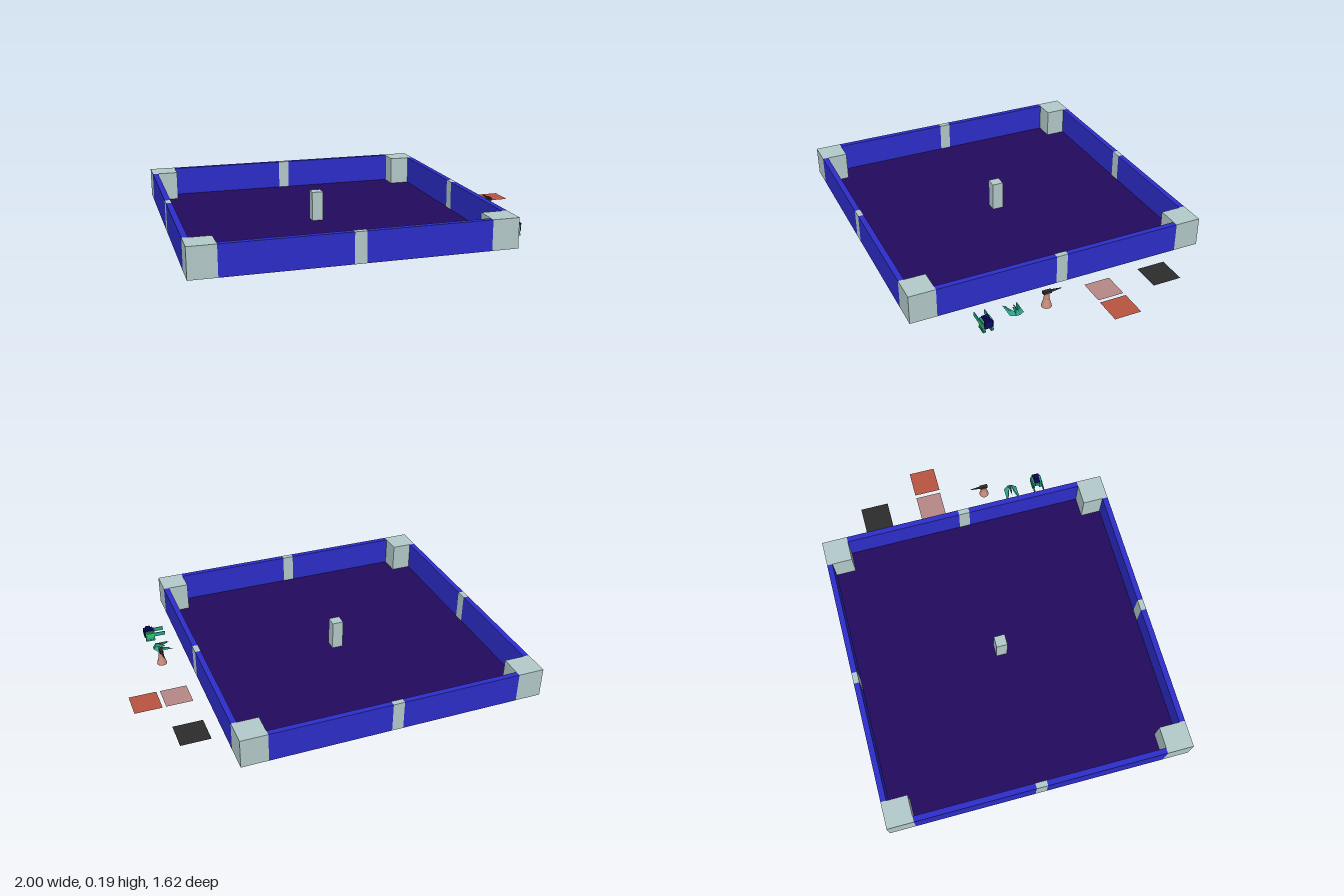
import * as THREE from 'three';
import { ConvexGeometry } from 'three/addons/geometries/ConvexGeometry.js';

const mat = (name, color, extra = {}) => {
  const m = new THREE.MeshStandardMaterial({ color, ...extra });
  m.name = name;
  return m;
};

export function createModel() {
  const root = new THREE.Group();
  root.name = 'arenaSet';
  const D = { side: THREE.DoubleSide };
  const F = { flatShading: true };
  const M = {
    wall: mat('wall blue', 0x2d2dcb),
    floor: mat('floor violet', 0x220a5c),
    stone: mat('pale stone', 0xb4caca),
    dark: mat('charcoal', 0x2c2c2c, D),
    pink: mat('dusty pink', 0xb88888, D),
    red: mat('brick red', 0xb85540, D),
    skin: mat('clay', 0xc88c7a, F),
    teal: mat('teal', 0x2ba58a, F),
    green: mat('bright green', 0x30d060, F),
    navy: mat('navy', 0x0c0a60, F),
  };
  const add = (parent, name, geo, m, x = 0, y = 0, z = 0) => {
    const mesh = new THREE.Mesh(geo, m);
    mesh.name = name;
    mesh.position.set(x, y, z);
    parent.add(mesh);
    return mesh;
  };
  const box = (parent, name, m, w, h, d, x, y, z) =>
    add(parent, name, new THREE.BoxGeometry(w, h, d), m, x, y, z);
  const group = (name, x = 0, y = 0, z = 0) => {
    const g = new THREE.Group();
    g.name = name;
    g.position.set(x, y, z);
    root.add(g);
    return g;
  };

  // Arena: floor, corner blocks, walls broken by posts
  const arena = group('arena', -0.19, 0, 0);
  const H = 0.158, Y = 0.114, R = 0.81, T = 0.03, C = 0.14, P = 0.06;
  box(arena, 'floor', M.floor, 1.565, 0.006, 1.565, 0, 0.032, 0);
  box(arena, 'centrePost', M.stone, P, H, P, 0, Y, 0);
  const len = R - C - P / 2, mid = P / 2 + len / 2;
  for (let i = 0; i < 4; i++) {
    const side = new THREE.Group();
    side.name = 'arenaSide' + i;
    side.rotation.y = i * Math.PI / 2;
    arena.add(side);
    for (const s of [-1, 1]) box(side, 'wall', M.wall, len, H, T, s * mid, Y, R - T / 2);
    box(side, 'wallPost', M.stone, P, H, T, 0, Y, R - T / 2);
    box(side, 'cornerBlock', M.stone, C, H, C, R - C / 2, Y, R - C / 2);
  }

  // Flat floor tiles beside the arena
  const tile = (name, m, w, x, z) => {
    add(root, name, new THREE.PlaneGeometry(w, w).rotateX(-Math.PI / 2), m, x, 0.036, z);
  };
  tile('darkTile', M.dark, 0.157, 0.768, -0.48);
  tile('pinkTile', M.pink, 0.142, 0.765, -0.16);
  tile('redTile', M.red, 0.145, 0.9275, -0.16);

  // Turret: flared pedestal with a gun pointing to the back
  const turret = group('turret', 0.765, 0, 0.16);
  const profile = [[0, 0.036], [0.027, 0.036], [0.025, 0.046], [0.015, 0.08], [0.012, 0.112], [0, 0.116]];
  add(turret, 'pedestal', new THREE.LatheGeometry(profile.map(p => new THREE.Vector2(...p)), 12), M.skin);
  box(turret, 'gunBody', M.dark, 0.018, 0.015, 0.045, 0, 0.118, -0.002);
  add(turret, 'barrel', new THREE.CylinderGeometry(0.002, 0.007, 0.055, 8).rotateX(-Math.PI / 2), M.dark, 0, 0.118, -0.051);

  // Glider: two swept wings round a small hull
  const glider = group('glider', 0, 0, 0.317);
  for (const s of [-1, 1]) {
    const pts = [[0.675, 0.036, 0.038], [0.762, 0.034, 0.037], [0.778, 0.036, 0.01], [0.715, 0.038, 0.018],
      [0.757, 0.05, 0.01], [0.755, 0.024, 0.014]].map(([x, y, z]) => new THREE.Vector3(x, y, z * s));
    add(glider, 'wing', new ConvexGeometry(pts), M.teal);
    box(glider, 'wingStripe', M.green, 0.045, 0.003, 0.005, 0.715, 0.043, s * 0.028).rotation.y = s * 0.2;
  }
  const hull = [[0.71, 0.04, 0], [0.778, 0.036, 0.011], [0.778, 0.036, -0.011], [0.76, 0.066, 0.004],
    [0.76, 0.066, -0.004], [0.755, 0.024, 0]].map(p => new THREE.Vector3(...p));
  add(glider, 'hull', new ConvexGeometry(hull), M.teal);
  box(glider, 'fin', M.dark, 0.04, 0.003, 0.004, 0.745, 0.062, 0);

  // Walker: navy body between two legs, each carrying a long thin cannon
  const walker = group('walker', 0, 0, 0.478);
  box(walker, 'body', M.navy, 0.05, 0.045, 0.034, 0.767, 0.043, 0);
  box(walker, 'head', M.navy, 0.026, 0.018, 0.02, 0.77, 0.071, 0);
  box(walker, 'backPack', M.navy, 0.01, 0.04, 0.042, 0.79, 0.045, 0);
  box(walker, 'chest', M.teal, 0.008, 0.022, 0.024, 0.739, 0.042, 0);
  for (const s of [-1, 1]) {
    box(walker, 'leg', M.teal, 0.048, 0.054, 0.012, 0.764, 0.031, s * 0.021);
    box(walker, 'foot', M.teal, 0.052, 0.008, 0.016, 0.764, 0.004, s * 0.021);
    box(walker, 'sidePlate', M.green, 0.045, 0.024, 0.004, 0.763, 0.037, s * 0.029);
    box(walker, 'cannon', M.teal, 0.06, 0.022, 0.005, 0.71, 0.037, s * 0.027);
  }
  return root;
}
